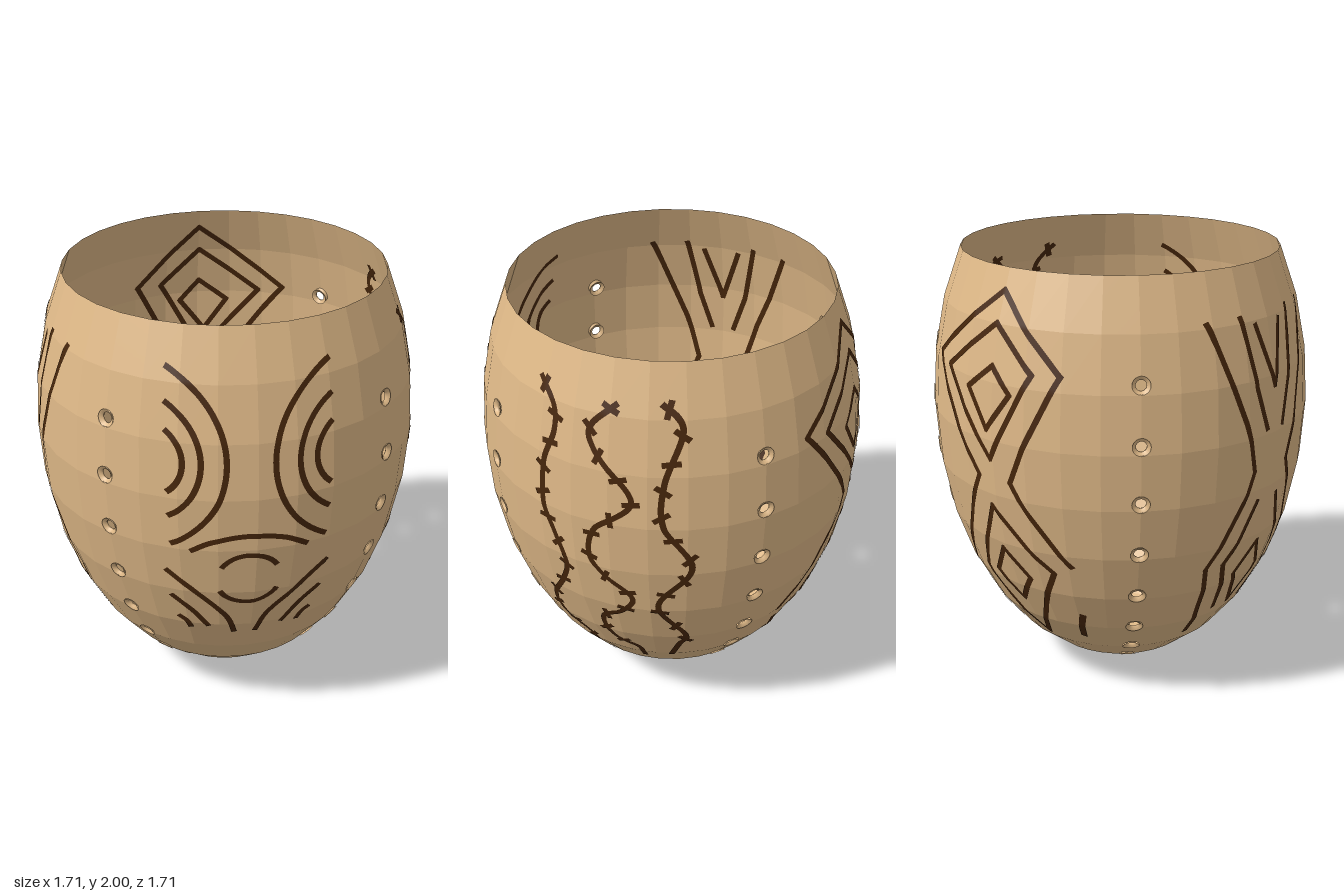
import * as THREE from 'three';
import { mergeGeometries } from 'three/addons/utils/BufferGeometryUtils.js';

const SEG = 32, ROWS = 11, STEP = Math.PI / 16;      // faceted ellipsoid, open at the top
const RY = 2 / (1 - Math.cos(ROWS * STEP)), RX = RY / 1.5;
const HOLE = 0.037;
const rad = THREE.MathUtils.degToRad;

const rowR = i => RX * Math.sin(i * STEP);
const rowY = i => RY * (1 - Math.cos(i * STEP));

// Ring radius of the faceted wall at a height
function radiusAt(y) {
  const t = Math.acos(THREE.MathUtils.clamp(1 - y / RY, -1, 1)) / STEP;
  const i = Math.min(Math.floor(t), ROWS - 1);
  const f = (y - rowY(i)) / (rowY(i + 1) - rowY(i));
  return THREE.MathUtils.lerp(rowR(i), rowR(i + 1), f);
}

// Point of the wall from a flat drawing (u across, y up) facing the azimuth `center`
function onWall(center, u, y, lift) {
  const s = 2 * Math.PI / SEG, R = radiusAt(y);
  let r = R, az = center;
  for (let k = 0; k < 4; k++) {
    az = center + Math.asin(THREE.MathUtils.clamp(u / r, -1, 1));
    const local = az - Math.floor(az / s) * s - s / 2;
    r = R * Math.cos(s / 2) / Math.cos(local);
  }
  const h = r / RX ** 2;
  const n = new THREE.Vector3(Math.sin(az) * h, (y - RY) / RY ** 2, Math.cos(az) * h).normalize();
  return new THREE.Vector3(r * Math.sin(az), y, r * Math.cos(az)).addScaledVector(n, lift);
}

// Round holes along four meridians, and one at the very bottom
function holeList() {
  const holes = [{ p: new THREE.Vector3(0, 0, 0), n: new THREE.Vector3(0, -1, 0) }];
  for (let m = 0; m < 4; m++) {
    const a = m * Math.PI / 2;
    for (let k = 1; k < 10; k++) {
      const y = RY * (1 - Math.cos(0.2 * k)), r = radiusAt(y), h = r / RX ** 2;
      holes.push({
        p: new THREE.Vector3(r * Math.sin(a), y, r * Math.cos(a)),
        n: new THREE.Vector3(Math.sin(a) * h, (y - RY) / RY ** 2, Math.cos(a) * h).normalize(),
      });
    }
  }
  return holes;
}

// Wall: flat cells; cells beside holes are finely divided and opened
function wallGeometry(holes) {
  const pos = [];
  const corner = (i, j) => {
    const a = j * 2 * Math.PI / SEG;
    return new THREE.Vector3(rowR(i) * Math.sin(a), rowY(i), rowR(i) * Math.cos(a));
  };
  const quad = (a, b, c, d) => [a, b, c, a, c, d].forEach(p => pos.push(p.x, p.y, p.z));
  for (let i = 0; i < ROWS; i++) for (let j = 0; j < SEG; j++) {
    const c = [corner(i, j), corner(i, j + 1), corner(i + 1, j + 1), corner(i + 1, j)];
    if (i > 0 && j % 8 !== 0 && j % 8 !== 7) { quad(...c); continue; }
    const N = 16, grid = [];
    for (let v = 0; v <= N; v++) for (let u = 0; u <= N; u++) {
      const lo = c[0].clone().lerp(c[1], u / N), hi = c[3].clone().lerp(c[2], u / N);
      const p = lo.lerp(hi, v / N);
      const h = holes.find(q => q.p.distanceTo(p) < HOLE);
      if (h) {
        const d = p.clone().sub(h.p);
        if (d.length() > 1e-6) p.copy(h.p).addScaledVector(d.normalize(), HOLE);
      }
      grid.push({ p, inside: !!h });
    }
    for (let v = 0; v < N; v++) for (let u = 0; u < N; u++) {
      const k = v * (N + 1) + u;
      const q = [grid[k], grid[k + 1], grid[k + N + 2], grid[k + N + 1]];
      if (!q.every(g => g.inside)) quad(...q.map(g => g.p));
    }
  }
  const g = new THREE.BufferGeometry();
  g.setAttribute('position', new THREE.Float32BufferAttribute(pos, 3));
  g.computeVertexNormals();
  return g;
}

// Painted line: thin ribbons on the outer and inner face of the wall
function ribbon(center, pts, width = 0.025) {
  const pos = [], idx = [];
  for (const lift of [0.003, -0.003]) {
    const base = pos.length / 3;
    pts.forEach((p, i) => {
      const t = pts[Math.min(i + 1, pts.length - 1)].clone().sub(pts[Math.max(i - 1, 0)]).normalize();
      for (const s of [-0.5, 0, 0.5]) {
        const q = onWall(center, p.x - t.y * s * width, p.y + t.x * s * width, lift);
        pos.push(q.x, q.y, q.z);
      }
      if (i) for (const k of [0, 1]) {
        const a = base + (i - 1) * 3 + k, b = a + 3;
        if (lift > 0) idx.push(a, b, b + 1, a, b + 1, a + 1);
        else idx.push(a, b + 1, b, a, a + 1, b + 1);
      }
    });
  }
  const g = new THREE.BufferGeometry();
  g.setAttribute('position', new THREE.Float32BufferAttribute(pos, 3));
  g.setIndex(idx);
  g.computeVertexNormals();
  return g;
}

const vec = ([x, y]) => new THREE.Vector2(x, y);

// Straight strokes between points, slightly overlapping at corners
function polyline(center, list) {
  return list.slice(1).map((b, i) => {
    const p = vec(list[i]), q = vec(b), d = q.clone().sub(p), len = d.length();
    d.normalize();
    p.addScaledVector(d, -0.008); q.addScaledVector(d, 0.008);
    const n = Math.ceil(len / 0.015) + 1;
    return ribbon(center, Array.from({ length: n + 1 }, (_, k) => p.clone().lerp(q, k / n)));
  });
}

function smoothLine(center, list) {
  const c = new THREE.SplineCurve(list.map(vec));
  return [ribbon(center, c.getSpacedPoints(Math.ceil(c.getLength() / 0.015)))];
}

function arc(center, cx, cy, r, a0, a1) {
  const n = Math.ceil(r * rad(Math.abs(a1 - a0)) / 0.015);
  return [ribbon(center, Array.from({ length: n + 1 }, (_, k) => {
    const a = rad(a0 + (a1 - a0) * k / n);
    return new THREE.Vector2(cx + r * Math.cos(a), cy + r * Math.sin(a));
  }))];
}

const mirror = list => list.map(([x, y]) => [-x, y]);

// Concentric arcs, a broken circle and fanned strokes
function arcPanel() {
  const c = rad(43), out = [];
  for (const [cx, r, a] of [[-0.546, 0.446, 61], [-0.503, 0.3, 57], [-0.453, 0.176, 51]])
    out.push(...arc(c, cx, 1.45, r, -a, a), ...arc(c, -cx, 1.45, r, 180 - a, 180 + a));
  out.push(...smoothLine(c, [[-0.25, 1.03], [-0.15, 1.085], [0, 1.11], [0.15, 1.085], [0.25, 1.03]]));
  out.push(...arc(c, 0, 0.872, 0.138, 30, 150), ...arc(c, 0, 0.872, 0.138, 207, 333));
  for (const s of [
    [[-0.35, 0.91], [-0.22, 0.79], [-0.09, 0.64], [-0.045, 0.51]],
    [[-0.326, 0.76], [-0.236, 0.67], [-0.158, 0.56]],
    [[-0.292, 0.62], [-0.255, 0.59], [-0.233, 0.54]],
  ]) out.push(...smoothLine(c, s), ...smoothLine(c, mirror(s)));
  return out;
}

// Nested diamonds, large above and small below
function diamondPanel() {
  return [
    [[0.345, 0.74], [0.128, 1.11], [0.352, 1.6], [0.04, 1.91], [-0.377, 1.58], [-0.051, 1.11], [-0.312, 0.58]],
    [[0.036, 1.78], [0.233, 1.594], [0.03, 1.2], [-0.262, 1.552], [0.036, 1.78]],
    [[0.037, 1.605], [0.135, 1.497], [0.013, 1.33], [-0.103, 1.494], [0.037, 1.605]],
    [[0.011, 0.98], [0.256, 0.69], [0.023, 0.26], [-0.161, 0.61], [0.011, 0.98]],
    [[0.023, 0.77], [0.123, 0.63], [0.024, 0.486], [-0.076, 0.62], [0.023, 0.77]],
    [[-0.268, 0.49], [-0.157, 0.28]], [[0.296, 0.45], [0.227, 0.3]],
  ].flatMap(s => polyline(rad(222), s));
}

// Mirrored chevrons over a kite
function chevronPanel() {
  return [
    [[0.326, 1.795], [0.25, 1.54], [0.184, 1.36], [0.12, 1.13], [0.276, 0.69], [0.206, 0.45], [0.15, 0.28]],
    [[0.166, 1.8], [0.116, 1.5], [0.056, 1.31]],
    [[0.085, 1.76], [0, 1.49]],
    [[0.072, 0.98], [0.185, 0.69], [0.1, 0.42]],
    [[0, 0.76], [0.087, 0.61], [0, 0.42]],
  ].flatMap(s => [...polyline(rad(-45), s), ...polyline(rad(-45), mirror(s))]);
}

// Three winding strands with short barbs
function barbedPanel() {
  const c = rad(135), out = [];
  for (const s of [
    [[-0.324, 1.855], [-0.252, 1.76], [-0.247, 1.65], [-0.296, 1.5], [-0.305, 1.3], [-0.26, 1.15], [-0.214, 1.0],
      [-0.248, 0.87], [-0.319, 0.72], [-0.314, 0.6], [-0.196, 0.45], [-0.161, 0.36], [-0.134, 0.22]],
    [[0.03, 1.83], [-0.08, 1.72], [-0.06, 1.62], [0.1, 1.41], [-0.06, 1.25], [-0.095, 1.1], [-0.04, 1.0],
      [0.08, 0.87], [0.03, 0.77], [-0.075, 0.68], [-0.05, 0.52], [0.05, 0.43], [0.05, 0.3]],
    [[0.2, 1.84], [0.29, 1.74], [0.23, 1.5], [0.23, 1.3], [0.34, 1.07], [0.19, 0.83], [0.28, 0.6], [0.24, 0.5], [0.18, 0.36]],
  ]) {
    out.push(...smoothLine(c, s));
    const curve = new THREE.SplineCurve(s.map(vec)), n = Math.round(curve.getLength() / 0.13);
    for (let k = 0; k < n - 1; k++) {
      const p = curve.getPointAt((k + 0.3) / n), t = curve.getTangentAt((k + 0.3) / n);
      const a = Math.atan2(t.y, t.x) + (k % 2 ? 1.1 : 2.0), dx = 0.03 * Math.cos(a), dy = 0.03 * Math.sin(a);
      out.push(...polyline(c, [[p.x - dx, p.y - dy], [p.x + dx, p.y + dy]]));
    }
  }
  return out;
}

export function createModel() {
  const clay = new THREE.MeshStandardMaterial({ color: 0xdeb887, side: THREE.DoubleSide });
  clay.name = 'tan clay';
  const paint = new THREE.MeshStandardMaterial({ color: 0x46260b, side: THREE.DoubleSide });
  paint.name = 'dark brown paint';
  const group = new THREE.Group();
  group.name = 'perforatedPot';
  const add = (name, geometry, material) => {
    const mesh = new THREE.Mesh(geometry, material);
    mesh.name = name;
    group.add(mesh);
    return mesh;
  };

  const holes = holeList();
  add('wall', wallGeometry(holes), clay);

  // Tapered rims inside the holes
  const profile = [[HOLE + 0.002, -0.026], [0.023, -0.017], [0.023, -0.008], [HOLE + 0.002, 0.002]].map(vec);
  const rim = new THREE.LatheGeometry(profile, 20);
  for (const h of holes) {
    const mesh = add('holeRim', rim, clay);
    mesh.position.copy(h.p);
    mesh.quaternion.setFromUnitVectors(new THREE.Vector3(0, 1, 0), h.n);
  }

  add('arcDecoration', mergeGeometries(arcPanel()), paint);
  add('diamondDecoration', mergeGeometries(diamondPanel()), paint);
  add('chevronDecoration', mergeGeometries(chevronPanel()), paint);
  add('barbedDecoration', mergeGeometries(barbedPanel()), paint);
  return group;
}
